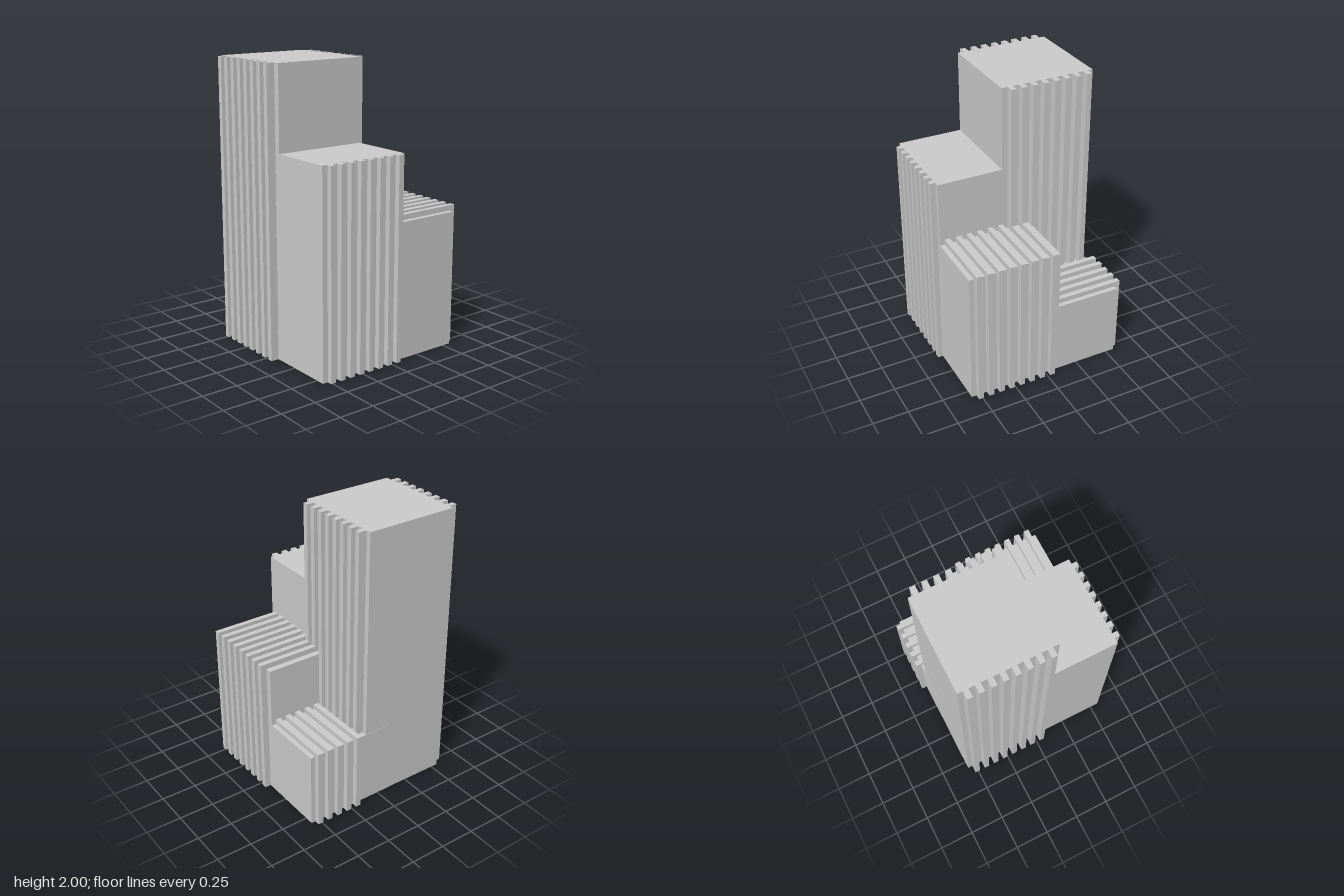
import * as THREE from 'three';

const material = new THREE.MeshStandardMaterial({ color: 0xcccccc, flatShading: true });
const FIN = 0.037, PITCH = 0.0783;

// Box given by its low and high corners
function block(name, [x0, y0, z0], [x1, y1, z1]) {
  const mesh = new THREE.Mesh(new THREE.BoxGeometry(x1 - x0, y1 - y0, z1 - z0), material);
  mesh.position.set((x0 + x1) / 2, (y0 + y1) / 2, (z0 + z1) / 2);
  mesh.name = name;
  return mesh;
}

// Row of equal parts: make(start) receives the low edge of each fin
function row(name, count, first, make) {
  const group = new THREE.Group();
  group.name = name;
  for (let i = 0; i < count; i++) group.add(make(first + i * PITCH));
  return group;
}

// L-shaped fin that runs over a roof and down a wall, profile (u, y), extruded by FIN
function wrapGeometry(inner, wall, outer, roof, top) {
  const shape = new THREE.Shape([
    [inner, roof], [wall, roof], [wall, 0], [outer, 0], [outer, top], [inner, top],
  ].map(([u, y]) => new THREE.Vector2(u, y)));
  return new THREE.ExtrudeGeometry(shape, { depth: FIN, bevelEnabled: false });
}

export function createModel() {
  const model = new THREE.Group();
  model.name = 'steppedTowers';

  // Main bodies
  model.add(
    block('tallTower', [-0.55, 0, -0.56], [0.11, 2, 0.104]),
    block('frontTower', [-0.55, 0, 0.104], [0.11, 1.42, 0.563]),
    block('lowFrontBlock', [0.11, 0, -0.1], [0.56, 0.96, 0.563]),
    block('lowBackBlock', [-0.1, 0, -0.562], [0.56, 0.535, -0.1]),
  );

  // Vertical fins on both sides of the tall tower
  for (const [name, x0, x1] of [['towerRightFins', -0.608, -0.55], ['towerLeftFins', 0.11, 0.166]]) {
    model.add(row(name, 8, -0.524, z => block('towerFin', [x0, 0, z], [x1, 2, z + FIN])));
  }

  // Vertical fins on the front tower
  model.add(row('frontTowerFins', 8, -0.511, x =>
    block('frontTowerFin', [x, 0, 0.563], [x + FIN, 1.42, 0.6])));

  // Fins wrapping over the low front block and down its side
  const sideWrap = wrapGeometry(0.11, 0.56, 0.604, 0.96, 0.998);
  model.add(row('lowFrontFins', 8, -0.057, z => {
    const fin = new THREE.Mesh(sideWrap, material);
    fin.name = 'lowFrontFin';
    fin.position.z = z;
    return fin;
  }));

  // Fins wrapping over the low back block and down its back
  const backWrap = wrapGeometry(0.1, 0.562, 0.6, 0.535, 0.57).rotateY(Math.PI / 2);
  model.add(row('lowBackFins', 5, 0.178, x => {
    const fin = new THREE.Mesh(backWrap, material);
    fin.name = 'lowBackFin';
    fin.position.x = x;
    return fin;
  }));

  return model;
}
